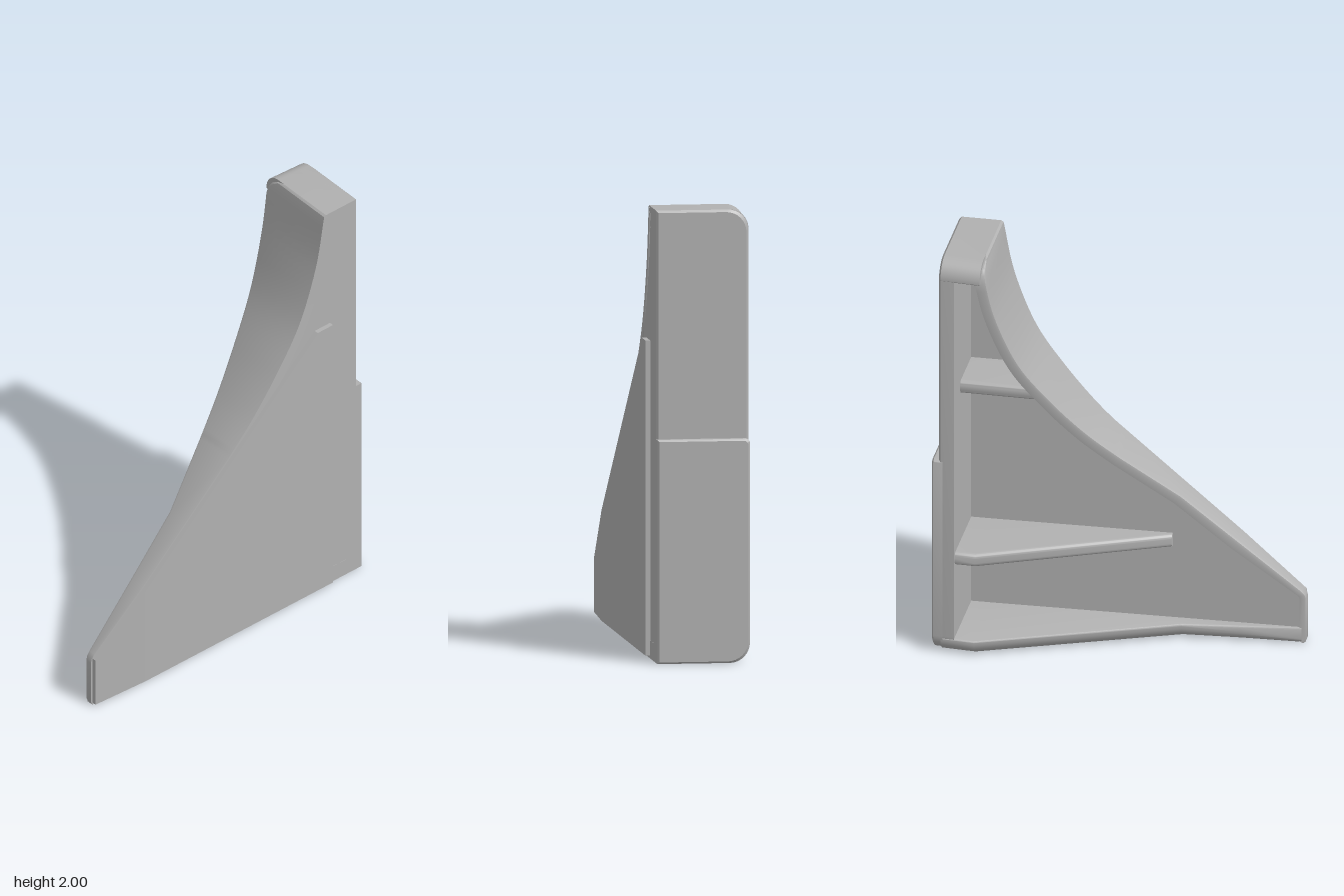
import * as THREE from 'three';
import { toCreasedNormals } from 'three/addons/utils/BufferGeometryUtils.js';

const grey = new THREE.MeshStandardMaterial({ color: 0xb0b0b0 });
grey.name = 'plain grey';

// Piecewise linear interpolation through [position, value] pairs
function track(keys) {
  return (p) => {
    if (p <= keys[0][0]) return keys[0][1];
    for (let i = 1; i < keys.length; i++) {
      const [a, va] = keys[i - 1], [b, vb] = keys[i];
      if (p <= b) return va + (vb - va) * (p - a) / (b - a);
    }
    return keys[keys.length - 1][1];
  };
}

// Rules in z: outer side, open edge and inner face of the side web
const outerX = track([[-0.79, 0.155], [0.5, 0.23], [0.79, 0.23]]);
const edgeX = track([[-0.6, -0.25], [0.25, 0.1], [0.79, 0.192]]);
const webX = track([[-0.7, 0.08], [0.79, 0.2]]);

// Front outline as [z, y], from the top down to the foot
const curve = new THREE.SplineCurve([
  [-0.56, 1.97], [-0.515, 1.74], [-0.42, 1.485], [-0.286, 1.28], [-0.14, 1.1], [0, 0.96],
].map(([z, y]) => new THREE.Vector2(z, y))).getPoints(30).map((p) => [p.x, p.y]);
const outline = [[-0.575, 2], [-0.565, 1.993], ...curve,
  [0.25, 0.735], [0.5, 0.51], [0.77, 0.268], [0.785, 0.25], [0.79, 0.23], [0.79, 0.02], [0.78, 0]];
const topY = track(outline.slice(0, -3));

// Closed solid through convex rings of [x, y, z] points
function loft(name, rings, crease = 0.6) {
  const n = rings[0].length, pos = rings.flat(2), idx = [];
  for (let r = 0; r < rings.length - 1; r++) {
    for (let i = 0; i < n; i++) {
      const a = r * n + i, b = r * n + (i + 1) % n;
      idx.push(a, b, b + n, a, b + n, a + n);
    }
  }
  const end = (rings.length - 1) * n;
  for (let i = 1; i < n - 1; i++) idx.push(0, i + 1, i, end, end + i, end + i + 1);
  // Turn the faces outward
  let volume = 0;
  const v = (i) => new THREE.Vector3().fromArray(pos, i * 3);
  for (let i = 0; i < idx.length; i += 3) volume += v(idx[i]).dot(v(idx[i + 1]).cross(v(idx[i + 2])));
  if (volume < 0) idx.reverse();
  const g = new THREE.BufferGeometry();
  g.setAttribute('position', new THREE.Float32BufferAttribute(pos, 3));
  g.setIndex(idx);
  const mesh = new THREE.Mesh(toCreasedNormals(g, crease), grey);
  mesh.name = name;
  return mesh;
}

// Upright section at z, with rounded corners on its open (-x) side
function section(z, left, right, bottom, top, rBottom, rTop) {
  const ring = [[right, bottom, z], [right, top, z]];
  for (let i = 0; i <= 8; i++) {
    const a = Math.PI / 2 * (1 + i / 8);
    ring.push([left + rTop + rTop * Math.cos(a), top - rTop + rTop * Math.sin(a), z]);
  }
  for (let i = 0; i <= 8; i++) {
    const a = Math.PI * (1 + i / 16);
    ring.push([left + rBottom + rBottom * Math.cos(a), bottom + rBottom + rBottom * Math.sin(a), z]);
  }
  return ring;
}

export function createModel() {
  const group = new THREE.Group();
  group.name = 'cornerBracket';

  // Back wall, with a thicker lower half
  const wall = (z, inset) => section(z, -0.25 + inset, outerX(z) - inset, inset, 2 - inset, 0.09, 0.09);
  group.add(loft('backWall', [wall(-0.76, 0.01), wall(-0.75, 0), wall(-0.69, 0)]));
  const step = (z, inset) => section(z, -0.253 + inset, outerX(z) - inset, inset, 0.99 - inset, 0.09, 0.02);
  group.add(loft('lowerBackPad', [step(-0.79, 0.008), step(-0.782, 0), step(-0.74, 0)]));

  // Top cap
  group.add(loft('topCap', [-0.75, -0.575].map((z) =>
    section(z, -0.25, outerX(z), 1.91, 2, 0.005, 0.084))));

  // Solid side web under the curved outline
  const webStations = [-0.72, -0.58, ...outline.slice(1, -3).map((p) => p[0])];
  group.add(loft('sideWeb', webStations.map((z) => {
    const top = (z < -0.57 ? 1.99 : topY(z)) - 0.008;
    const x = outerX(z) - 0.001;
    return [[webX(z), 0.005, z], [x, 0.005, z], [x, top, z], [webX(z), top, z]];
  })));

  // Curved front flange following the outline
  group.add(loft('frontFlange', outline.map(([z, y], i) => {
    const p = outline[Math.max(i - 1, 0)], q = outline[Math.min(i + 1, outline.length - 1)];
    const dz = q[0] - p[0], dy = q[1] - p[1], len = Math.hypot(dz, dy);
    const nz = dy / len, ny = -dz / len;
    const h = Math.max(y - 1.9, 0);
    const left = edgeX(z) + 0.1 - Math.sqrt(Math.max(0.01 - h * h, 0));
    const right = outerX(z), t = z > 0.7 ? 0.03 : 0.05;
    const b = Math.min(0.015, (right - left) * 0.3);
    const at = (x, d) => [x, Math.max(y + ny * d, 0), z + nz * d];
    return [at(right, 0), at(left + b, 0), at(left + b * 0.3, b * 0.3), at(left, b),
      at(left, t), at(right, t)];
  })));

  // Bottom flange
  group.add(loft('bottomFlange', [-0.75, -0.6, 0.25, 0.5, 0.77].map((z) => {
    const left = edgeX(z), r = Math.min(0.085, (outerX(z) - left) * 0.6);
    return section(z, left, outerX(z), 0, 0.08, Math.min(r, 0.07), 0.008);
  })));

  // Inner stiffening ribs
  const rib = (name, y, stations) => group.add(loft(name, stations.map(([z, left]) =>
    section(z, left, webX(z) + 0.02, y - 0.032, y + 0.032, 0.02, 0.02))));
  rib('middleRib', 0.48, [[-0.72, -0.235], [-0.6, -0.23], [0.2, 0.13]]);
  rib('upperRib', 1.3, [[-0.72, -0.13], [-0.34, -0.11]]);

  // Raised panel on the outer side
  const panelTop = track([[-0.51, 1.405], [0.78, 0.25]]);
  group.add(loft('outerPanel', [-0.6, -0.51, 0.5, 0.78].map((z) => {
    const a = outerX(z) - 0.005, b = outerX(z) + 0.02;
    return [[a, 0.012, z], [b, 0.012, z], [b, panelTop(z), z], [a, panelTop(z), z]];
  }), 0.02));

  return group;
}
